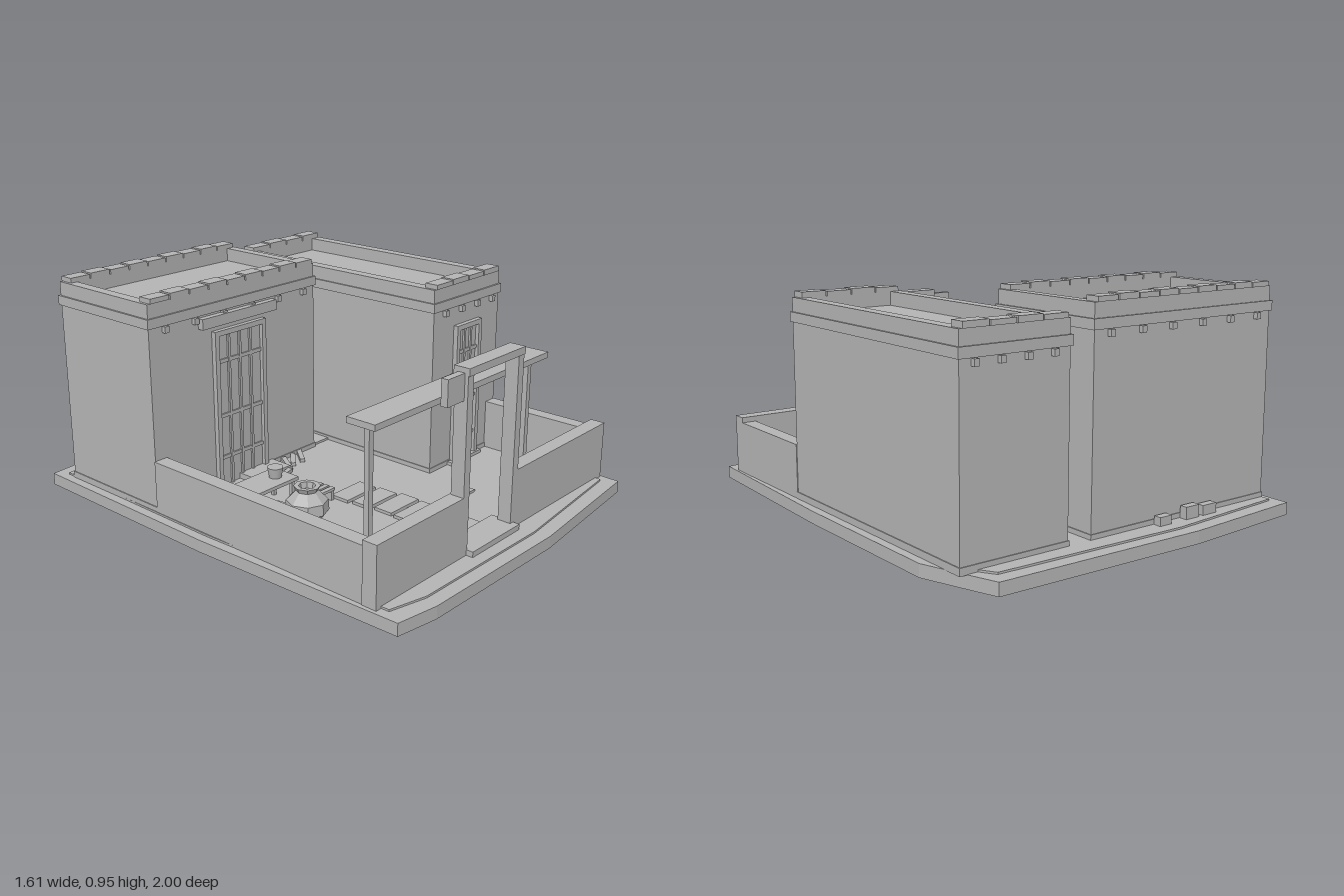
import * as THREE from 'three';

export function createModel() {
  const model = new THREE.Group();
  const clay = new THREE.MeshStandardMaterial({ color: 0xb3b3b3 });
  clay.name = 'plain grey';

  const add = (parent, name, geometry) => {
    const mesh = new THREE.Mesh(geometry, clay);
    mesh.name = name;
    parent.add(mesh);
    return mesh;
  };
  // Box given by its extents
  const box = (parent, name, x0, x1, y0, y1, z0, z1) => {
    const mesh = add(parent, name, new THREE.BoxGeometry(x1 - x0, y1 - y0, z1 - z0));
    mesh.position.set((x0 + x1) / 2, (y0 + y1) / 2, (z0 + z1) / 2);
    return mesh;
  };
  const group = (name) => {
    const g = new THREE.Group();
    g.name = name;
    model.add(g);
    return g;
  };
  // Flat slab from an outline of [x, z] points
  const slab = (name, outline, y0, y1) => {
    const shape = new THREE.Shape(outline.map(([x, z]) => new THREE.Vector2(x, -z)));
    const geo = new THREE.ExtrudeGeometry(shape, { depth: y1 - y0, bevelEnabled: false });
    geo.rotateX(-Math.PI / 2);
    geo.translate(0, y0, 0);
    add(model, name, geo);
  };

  // Ground in two tiers
  slab('groundSlab', [[-0.8, -0.96], [-0.24, -1], [0.69, -0.98], [0.73, -0.87], [0.8, -0.67],
    [0.8, 0.1], [0.77, 0.94], [0.12, 1], [-0.6, 0.99], [-0.78, 0.96], [-0.81, 0]], 0, 0.052);
  slab('courtyardFloor', [[-0.76, -0.9], [-0.2, -0.945], [0.65, -0.92], [0.7, -0.84], [0.76, -0.64],
    [0.76, 0.1], [0.72, 0.88], [0.1, 0.94], [-0.58, 0.93], [-0.74, 0.89], [-0.77, 0]], 0.052, 0.06);

  // Flat-roofed house: walls, cornice, parapet, coping blocks and beam ends
  function house(name, x0, x1, z0, z1, wallTop, copingCount, beamXs, rim) {
    const g = group(name);
    const bandTop = wallTop + 0.04, top = bandTop + 0.058, o = 0.008;
    box(g, 'walls', x0, x1, 0.05, bandTop, z0, z1);
    box(g, 'plinth', x0 - 0.004, x1 + 0.004, 0.05, 0.08, z0 - 0.004, z1 + 0.004);
    box(g, 'cornice', x0 - o, x1 + o, wallTop, bandTop, z0 - o, z1 + o);
    for (const [a, b] of [[x0, x0 + rim], [x1 - rim, x1]])
      box(g, 'sideParapet', a, b, bandTop, top, z0, z1);
    for (const [a, b] of [[z0, z0 + 0.055], [z1 - 0.055, z1]]) {
      box(g, 'endParapet', x0 + rim, x1 - rim, bandTop, top, a, b);
      const step = (x1 - x0 - 0.02) / copingCount;
      for (let i = 0; i < copingCount; i++) {
        const x = x0 + 0.01 + i * step;
        box(g, 'copingBlock', x + 0.003, x + step - 0.003, top, top + 0.02 + (i % 2) * 0.004, a - 0.004, b + 0.004);
      }
    }
    for (const x of beamXs)
      box(g, 'roofBeam', x - 0.011, x + 0.011, wallTop - 0.028, wallTop - 0.002, z0 - 0.018, z1 + 0.018);
    return g;
  }
  const mainHouse = house('mainHouse', -0.76, 0.175, -0.855, -0.3, 0.83, 9,
    [-0.68, -0.525, -0.37, -0.21, -0.055, 0.1], 0.045);
  const sideHouse = house('sideHouse', 0.285, 0.76, -0.855, 0.285, 0.785, 4,
    [0.36, 0.475, 0.59, 0.7], 0.05);

  // Framed door with vertical slats and cross rails
  function door(g, x0, x1, y1, z, slats) {
    const w = 0.022;
    box(g, 'doorJamb', x0, x0 + w, 0.06, y1, z, z + 0.022);
    box(g, 'doorJamb', x1 - w, x1, 0.06, y1, z, z + 0.022);
    box(g, 'doorHead', x0 + w, x1 - w, y1 - w, y1, z, z + 0.022);
    box(g, 'doorLeaf', x0 + w, x1 - w, 0.06, y1 - w, z, z + 0.005);
    const step = (x1 - x0 - 2 * w) / slats;
    for (let i = 1; i < slats; i++)
      box(g, 'doorSlat', x0 + w + i * step - 0.006, x0 + w + i * step + 0.006, 0.06, y1 - w, z + 0.005, z + 0.014);
    for (const t of [0.25, 0.5, 0.82])
      box(g, 'doorRail', x0 + w, x1 - w, y1 * t - 0.008, y1 * t + 0.008, z + 0.005, z + 0.012);
  }
  door(mainHouse, -0.435, -0.145, 0.75, -0.3, 4);
  box(mainHouse, 'doorCanopy', -0.505, -0.085, 0.775, 0.82, -0.3, -0.272);
  box(mainHouse, 'doorStep', -0.305, -0.1, 0.06, 0.085, -0.3, -0.19);
  door(sideHouse, 0.43, 0.61, 0.7, 0.285, 3);
  box(sideHouse, 'doorStep', 0.41, 0.63, 0.06, 0.075, 0.285, 0.315);
  box(model, 'passageStep', 0.175, 0.285, 0.055, 0.07, -0.47, -0.31);

  // Courtyard walls
  const walls = group('courtyardWalls');
  box(walls, 'rightWall', -0.765, -0.7, 0.05, 0.28, -0.3, 0.79);
  box(walls, 'leftWall', 0.7, 0.763, 0.05, 0.28, 0.285, 0.79);
  box(walls, 'frontWallRight', -0.768, -0.265, 0.05, 0.303, 0.79, 0.855);
  box(walls, 'frontWallLeft', 0.085, 0.763, 0.05, 0.303, 0.79, 0.855);

  // Gate with hanging board
  const gate = group('gate');
  box(gate, 'gatePost', -0.27, -0.235, 0.06, 0.775, 0.796, 0.855);
  box(gate, 'gatePost', 0.055, 0.09, 0.06, 0.775, 0.796, 0.855);
  box(gate, 'gateLintel', -0.27, 0.09, 0.775, 0.805, 0.79, 0.86);
  box(gate, 'threshold', -0.24, 0.075, 0.06, 0.083, 0.755, 0.885);
  box(gate, 'hangingBoard', -0.37, -0.27, 0.68, 0.785, 0.81, 0.84);

  // Long shade beam on two posts
  const shade = group('shadeFrame');
  box(shade, 'shadeBeam', -0.6, 0.52, 0.623, 0.648, 0.57, 0.702);
  for (const x of [-0.553, 0.47])
    box(shade, 'shadePost', x - 0.012, x + 0.012, 0.06, 0.623, 0.625, 0.648);

  // Paving stones and a small drain block
  const path = group('path');
  [[-0.19, 0.135], [-0.18, 0.24], [-0.165, 0.345], [-0.17, 0.45], [-0.18, 0.56], [-0.17, 0.665]].forEach(([x, z]) =>
    box(path, 'pavingStone', x, x + 0.18, 0.06, 0.073, z, z + 0.088));
  box(path, 'drainBlock', 0.18, 0.255, 0.06, 0.07, 0.49, 0.547);

  // Table, cup and two round stools
  const yard = group('yardFurniture');
  box(yard, 'tableTop', -0.535, -0.305, 0.155, 0.17, -0.087, 0.055);
  for (const x of [-0.52, -0.335]) for (const z of [-0.075, 0.03])
    box(yard, 'tableLeg', x, x + 0.015, 0.06, 0.155, z, z + 0.015);
  const cup = add(yard, 'cup', new THREE.CylinderGeometry(0.034, 0.026, 0.045, 12));
  cup.position.set(-0.37, 0.192, -0.015);
  for (const [x, z] of [[-0.535, -0.09], [-0.545, 0.135]]) {
    const stool = add(yard, 'stool', new THREE.CylinderGeometry(0.068, 0.06, 0.08, 14));
    stool.position.set(x, 0.1, z);
  }

  // Faceted water jar
  const profile = [[0, 0], [0.05, 0], [0.088, 0.05], [0.085, 0.095], [0.045, 0.135], [0.055, 0.155], [0.035, 0.155], [0.03, 0.13], [0, 0.13]];
  const jarGeo = new THREE.LatheGeometry(profile.map(([r, y]) => new THREE.Vector2(r, y)), 8).toNonIndexed();
  jarGeo.computeVertexNormals();
  const jar = add(yard, 'waterJar', jarGeo);
  jar.position.set(-0.42, 0.06, 0.21);

  // Low slatted bench
  for (const [i, z] of [0.075, 0.108, 0.14].entries())
    box(yard, 'benchSlat', -0.34 + i * 0.01, -0.2, 0.105, 0.117, z, z + 0.022);
  for (const x of [-0.3, -0.215]) box(yard, 'benchLeg', x, x + 0.015, 0.06, 0.105, 0.08, 0.155);

  // Loose poles on the ground
  for (const [xa, za, xb, zb] of [[-0.36, -0.11, -0.11, -0.18], [-0.1, -0.19, -0.04, -0.29], [-0.06, -0.21, 0.02, -0.29], [0, -0.21, 0.07, -0.3]]) {
    const pole = add(yard, 'pole', new THREE.BoxGeometry(Math.hypot(xb - xa, zb - za), 0.016, 0.022));
    pole.position.set((xa + xb) / 2, 0.07, (za + zb) / 2);
    pole.rotation.y = -Math.atan2(zb - za, xb - xa);
  }

  // Small rubble behind the main house
  for (const [x, w, h] of [[-0.41, 0.075, 0.04], [-0.315, 0.07, 0.05], [-0.17, 0.06, 0.035]])
    box(model, 'rubble', x - w / 2, x + w / 2, 0.055, 0.06 + h, -0.895, -0.862);

  return model;
}
